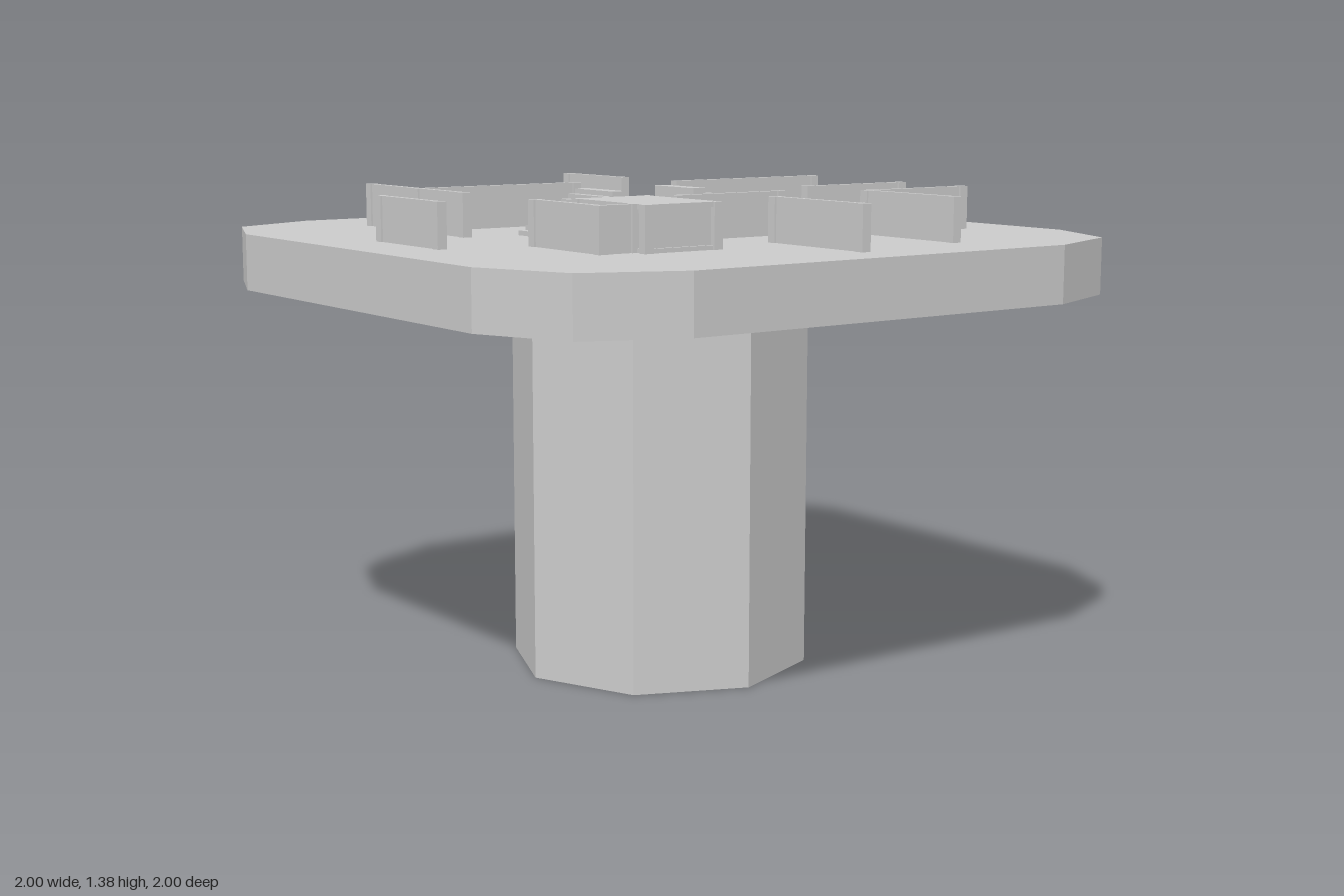
import * as THREE from 'three';

const material = new THREE.MeshStandardMaterial({ color: 0xcccccc, flatShading: true });
const COLUMN_TOP = 1.095, FLOOR = 1.255, TOP = 1.38;
const HEIGHT = TOP - FLOOR;
const POST = 0.028, WALL = 0.017;

export function createModel() {
  const model = new THREE.Group();

  const add = (name, geometry, x = 0, y = 0, z = 0, parent = model) => {
    const mesh = new THREE.Mesh(geometry, material);
    mesh.name = name;
    mesh.position.set(x, y, z);
    parent.add(mesh);
    return mesh;
  };
  const box = (name, x0, x1, y0, y1, z0, z1, parent) =>
    add(name, new THREE.BoxGeometry(x1 - x0, y1 - y0, z1 - z0),
      (x0 + x1) / 2, (y0 + y1) / 2, (z0 + z1) / 2, parent);
  const polygon = (points) => new THREE.Shape(points.map(([x, y]) => new THREE.Vector2(x, y)));

  // Octagonal supporting column
  add('column', new THREE.CylinderGeometry(0.434, 0.434, COLUMN_TOP, 8), 0, COLUMN_TOP / 2, 0);

  // Square platform with faceted round corners
  const outline = [];
  for (let i = 0; i < 4; i++) {
    const a = i * Math.PI / 2, c = Math.cos(a), s = Math.sin(a);
    for (const [x, y] of [[1, 0.62], [0.887, 0.887], [0.62, 1]]) {
      outline.push([x * c - y * s, x * s + y * c]);
    }
  }
  const platform = new THREE.ExtrudeGeometry(polygon(outline),
    { depth: FLOOR - COLUMN_TOP, bevelEnabled: false });
  platform.rotateX(-Math.PI / 2);
  add('platform', platform, 0, COLUMN_TOP, 0);

  // Low walls, each a thin panel between two square end posts
  const post = (x, z, parent) =>
    add('post', new THREE.BoxGeometry(POST, HEIGHT, POST), x, FLOOR + HEIGHT / 2, z, parent);
  const wall = (x0, z0, x1, z1) => {
    const group = new THREE.Group();
    group.name = 'wall';
    model.add(group);
    const alongX = z0 === z1, h = POST / 2, w = WALL / 2;
    if (alongX) box('panel', x0 + h, x1 - h, FLOOR, TOP, z0 - w, z0 + w, group);
    else box('panel', x0 - w, x0 + w, FLOOR, TOP, z0 + h, z1 - h, group);
    post(x0, z0, group);
    post(x1, z1, group);
  };
  // Post centres: x0, z0, x1, z1
  [
    [-0.302, -0.827, -0.302, -0.29],
    [0.152, -0.791, 0.152, -0.432],
    [0.416, -0.793, 0.416, -0.43],
    [0.416, -0.43, 0.77, -0.43],
    [-0.879, -0.277, -0.575, -0.277],
    [0.291, -0.21, 0.291, 0.144],
    [0.489, -0.037, 0.848, -0.037],
    [-0.411, 0.015, -0.411, 0.551],
    [-0.694, 0.551, -0.16, 0.551],
    [-0.164, 0.807, 0.141, 0.807],
    [0.521, 0.455, 0.521, 0.558],
    [0.216, 0.558, 0.521, 0.558],
  ].forEach((w) => wall(...w));

  // Small flat-roofed room with corner posts and recessed panels
  const room = new THREE.Group();
  room.name = 'room';
  model.add(room);
  const [x0, x1, z0, z1] = [0.25, 0.574, 0.217, 0.455];
  box('base', x0, x1, FLOOR, FLOOR + 0.012, z0, z1, room);
  box('panels', x0 + 0.01, x1 - 0.01, FLOOR + 0.012, TOP - 0.014, z0 + 0.01, z1 - 0.01, room);
  box('roof', x0, x1, TOP - 0.014, TOP, z0, z1, room);
  for (const x of [x0 + 0.008, x1 - 0.008]) {
    for (const z of [z0 + 0.008, z1 - 0.008]) post(x, z, room);
  }

  // Two solid stairs, high ends towards the middle
  const STEPS = 8, RUN = 0.0241, LANDING = 0.043, STAIR_WIDTH = 0.19;
  const profile = [[0, 0], [0, HEIGHT], [LANDING, HEIGHT]];
  for (let i = 1; i <= STEPS; i++) {
    const y = HEIGHT * (1 - i / (STEPS + 1));
    profile.push([LANDING + (i - 1) * RUN, y], [LANDING + i * RUN, y]);
  }
  profile.push([LANDING + STEPS * RUN, 0]);
  const stairs = new THREE.ExtrudeGeometry(polygon(profile),
    { depth: STAIR_WIDTH, bevelEnabled: false });
  stairs.translate(0, 0, -STAIR_WIDTH / 2);
  add('frontStairs', stairs, -0.04, FLOOR, 0.155).rotation.y = -Math.PI / 2;
  add('backStairs', stairs, -0.04, FLOOR, -0.085).rotation.y = Math.PI / 2;

  return model;
}
